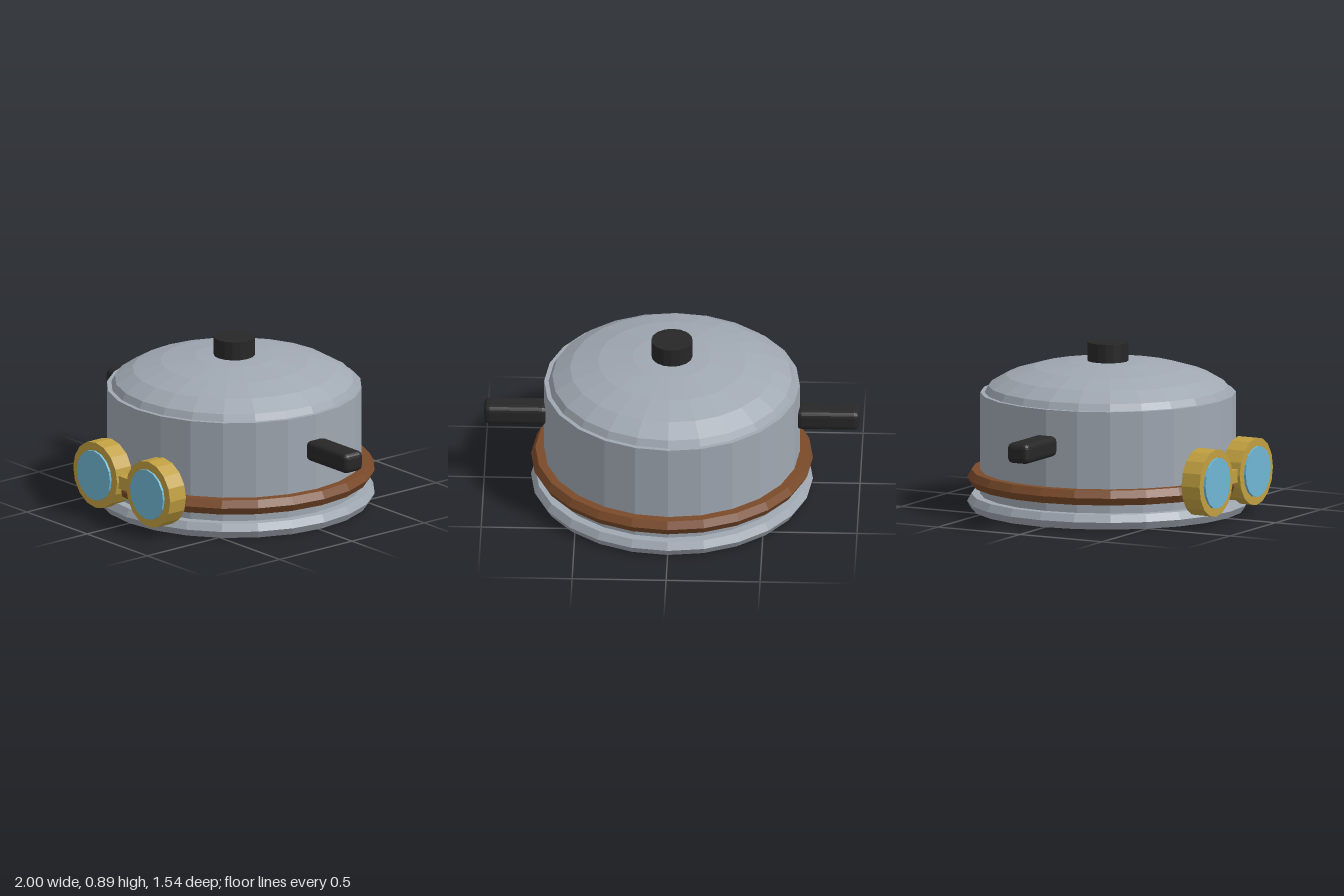
import * as THREE from 'three';
import { RoundedBoxGeometry } from 'three/addons/geometries/RoundedBoxGeometry.js';

function material(name, color) {
  const m = new THREE.MeshStandardMaterial({ color, flatShading: true });
  m.name = name;
  return m;
}

export function createModel() {
  const steel = material('steel', 0xa0a8b2);
  const leather = material('brown leather', 0x7a4a2a);
  const black = material('black plastic', 0x272727);
  const brass = material('brass', 0xc09f40);
  const glass = material('blue glass', 0x70b6d4);

  const model = new THREE.Group();
  model.name = 'potWithGoggles';
  const SIDES = 24;
  const CZ = -0.02; // pot axis sits slightly behind the origin

  const add = (name, geometry, mat, x, y, z) => {
    const mesh = new THREE.Mesh(geometry, mat);
    mesh.name = name;
    mesh.position.set(x, y, z);
    model.add(mesh);
    return mesh;
  };

  // Pot body
  add('body', new THREE.CylinderGeometry(0.68, 0.68, 0.58, SIDES), steel, 0, 0.335, CZ);

  // Low domed lid
  const dome = new THREE.SphereGeometry(0.67, SIDES, 5, 0, Math.PI * 2, 0, Math.PI / 2);
  dome.scale(1, 0.2 / 0.67, 1);
  add('lid', dome, steel, 0, 0.6, CZ);
  add('lidKnob', new THREE.CylinderGeometry(0.11, 0.11, 0.12, 16), black, 0, 0.835, CZ);

  // Six-sided rings: base rim and goggle strap
  const ring = () => new THREE.TorusGeometry(0.704, 0.046, 6, SIDES).rotateX(Math.PI / 2);
  add('baseRim', ring(), steel, 0, 0.04, CZ);
  add('strap', ring(), leather, 0, 0.17, CZ);

  // Forward-facing disc between two depths
  const disc = (radius, z0, z1, sides) =>
    new THREE.CylinderGeometry(radius, radius, z1 - z0, sides)
      .rotateX(Math.PI / 2).translate(0, 0, (z0 + z1) / 2);

  // Mirrored side handles and goggle eyepieces
  for (const [side, s] of [['left', 1], ['right', -1]]) {
    add(side + 'Handle', new RoundedBoxGeometry(0.34, 0.11, 0.13, 2, 0.03), black, s * 0.83, 0.432, CZ);
    add(side + 'GoggleFrame', disc(0.182, 0.65, 0.76, 16), brass, s * 0.22, 0.226, 0);
    add(side + 'Lens', disc(0.137, 0.755, 0.772, 16), glass, s * 0.22, 0.226, 0);
  }

  // Bridge joining the eyepieces
  add('goggleBridge', new THREE.BoxGeometry(0.12, 0.07, 0.05), brass, 0, 0.226, 0.72);

  return model;
}
